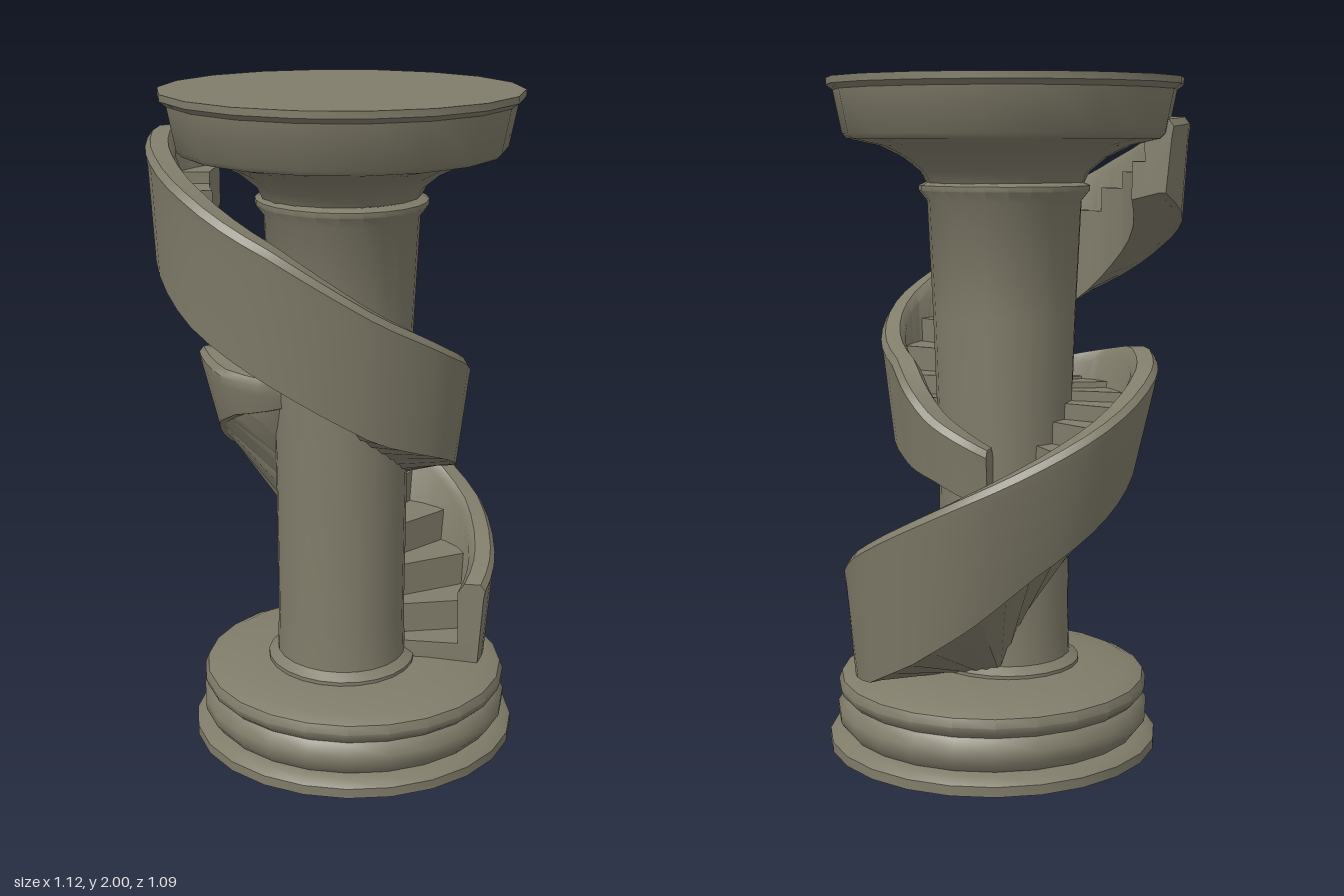
import * as THREE from 'three';
import { toCreasedNormals } from 'three/addons/utils/BufferGeometryUtils.js';

const stone = new THREE.MeshStandardMaterial({ color: 0x807c6a });
stone.name = 'weathered stone';

// Stair paths: angle in degrees (0 = front, 90 = +x), outer radius, underside, rail top, tread height, inward lean of the wall foot
const LOWER = [
  [54, 0.46, 0.23, 0.50, 0.25, 0], [75, 0.51, 0.23, 0.56, 0.31, 0.01], [95, 0.555, 0.26, 0.66, 0.44, 0.03],
  [115, 0.575, 0.35, 0.76, 0.56, 0.05], [135, 0.585, 0.47, 0.86, 0.68, 0.06], [155, 0.565, 0.61, 0.95, 0.79, 0.06],
  [175, 0.55, 0.72, 1.04, 0.88, 0.05], [205, 0.50, 0.86, 1.17, 1.00, 0.05], [230, 0.43, 0.98, 1.22, 1.07, 0.04],
  [255, 0.35, 1.05, 1.19, 1.10, 0.02], [275, 0.22, 1.08, 1.16, 1.11, 0],
];
const UPPER = [
  [-137, 0.49, 1.67, 1.88, 1.76, 0], [-120, 0.54, 1.60, 1.89, 1.73, 0], [-95, 0.56, 1.50, 1.84, 1.66, 0],
  [-75, 0.57, 1.40, 1.77, 1.57, 0], [-45, 0.58, 1.26, 1.64, 1.41, 0.015], [-15, 0.56, 1.10, 1.46, 1.28, 0.02],
  [10, 0.52, 1.02, 1.34, 1.18, 0.02], [35, 0.43, 0.93, 1.24, 1.08, 0.02], [60, 0.345, 0.87, 1.17, 1.02, 0.01],
  [95, 0.30, 0.83, 1.03, 0.94, 0.01], [135, 0.28, 0.77, 0.94, 0.88, 0],
];

// Values of a path at any angle
function at(path, a) {
  let i = 0;
  while (i < path.length - 2 && a > path[i + 1][0]) i++;
  const t = THREE.MathUtils.clamp((a - path[i][0]) / (path[i + 1][0] - path[i][0]), 0, 1);
  return path[i].map((v, k) => v + (path[i + 1][k] - v) * t);
}

// Closed solid lofted through [angle, [[radius, y], ...]] sections
function loft(sections) {
  const n = sections[0][1].length;
  const pos = [];
  const index = [];
  for (const [deg, loop] of sections) {
    const a = THREE.MathUtils.degToRad(deg);
    for (const [r, y] of loop) pos.push(r * Math.sin(a), y, r * Math.cos(a));
  }
  for (let i = 0; i < sections.length - 1; i++) {
    for (let j = 0; j < n; j++) {
      const k = (j + 1) % n;
      const p = i * n + j, q = p + n, s = i * n + k, t = s + n;
      index.push(p, q, t, p, t, s);
    }
  }
  const e = (sections.length - 1) * n;
  for (let j = 1; j < n - 1; j++) index.push(0, j, j + 1, e, e + j + 1, e + j);
  const g = new THREE.BufferGeometry();
  g.setAttribute('position', new THREE.Float32BufferAttribute(pos, 3));
  g.setIndex(index);
  return toCreasedNormals(g, 0.7);
}

function add(parent, name, geometry) {
  const mesh = new THREE.Mesh(geometry, stone);
  mesh.name = name;
  parent.add(mesh);
  return mesh;
}

function turned(points, sides) {
  const g = new THREE.LatheGeometry(points.map(([r, y]) => new THREE.Vector2(r, y)), sides);
  return toCreasedNormals(g, 0.7);
}

// Curved rail wall, treads up to the shaft, and an underside falling inwards by the given slope
function stair(name, path, count, slope, innerRadius) {
  const group = new THREE.Group();
  group.name = name;
  const first = path[0][0], last = path[path.length - 1][0];

  const wall = [];
  const cuts = Math.round((last - first) / 7);
  for (let i = 0; i <= cuts; i++) {
    const a = first + (last - first) * i / cuts;
    const [, r, low, top, , lean] = at(path, a);
    wall.push([a, [
      [r - 0.08 - lean, low], [r - 0.02 - lean, low], [r - 0.005, top - 0.05], [r, top - 0.02],
      [r - 0.015, top], [r - 0.065, top], [r - 0.085, top - 0.03],
    ]]);
  }
  add(group, 'railWall', loft(wall));

  for (let i = 0; i < count; i++) {
    const a0 = first + (last - first) * i / count;
    const a1 = first + (last - first) * (i + 1) / count;
    const floor = Math.max(at(path, a0)[4], at(path, a1)[4]);
    const middle = (a0 + a1) / 2;
    const inner = innerRadius(middle);
    const tread = [a0, middle, a1].map((a) => {
      const [, r, low, , , lean] = at(path, a);
      const outer = Math.max(r - 0.04 - lean, inner + 0.01);
      const innerLow = Math.max(0.23, low - slope * (outer - inner));
      return [a, [[inner, innerLow], [outer, low], [outer, floor], [inner, floor]]];
    });
    add(group, 'tread', loft(tread));
  }
  return group;
}

export function createModel() {
  const model = new THREE.Group();
  model.name = 'spiralStairColumn';

  // Stacked round mouldings of the plinth
  const base = add(model, 'base', turned([
    [0, 0], [0.5, 0], [0.5, 0.03], [0.475, 0.05], [0.45, 0.055], [0.473, 0.085],
    [0.475, 0.12], [0.455, 0.15], [0.45, 0.155], [0.466, 0.17], [0.472, 0.19], [0.462, 0.215],
    [0.42, 0.235], [0.24, 0.245], [0, 0.245],
  ], 24));
  base.position.set(0.055, 0, 0.005);

  // Slightly oval, widening shaft with a foot ring and a neck ring
  const shaft = add(model, 'shaft', turned([
    [0, 0.22], [0.225, 0.235], [0.225, 0.255], [0.197, 0.275], [0.193, 0.4], [0.197, 0.9],
    [0.21, 1.3], [0.226, 1.645], [0.25, 1.675], [0.25, 1.69], [0.228, 1.7], [0, 1.7],
  ], 24).scale(1, 1, 1.05));
  shaft.position.set(0.007, 0, 0.012);

  // Flared capital and flat top slab
  const capital = add(model, 'capital', turned([
    [0, 1.68], [0.23, 1.69], [0.25, 1.73], [0.3, 1.77], [0.37, 1.805], [0.465, 1.825],
    [0.48, 1.84], [0.505, 1.965], [0.525, 1.98], [0.525, 2], [0, 2],
  ], 18));
  capital.position.set(0.006, 0, 0.008);

  model.add(stair('lowerStair', LOWER, 13, 0.8, () => 0.15));
  model.add(stair('upperStair', UPPER, 15, 0.25, (a) => (a < -60 ? 0.37 : 0.15)));
  return model;
}
